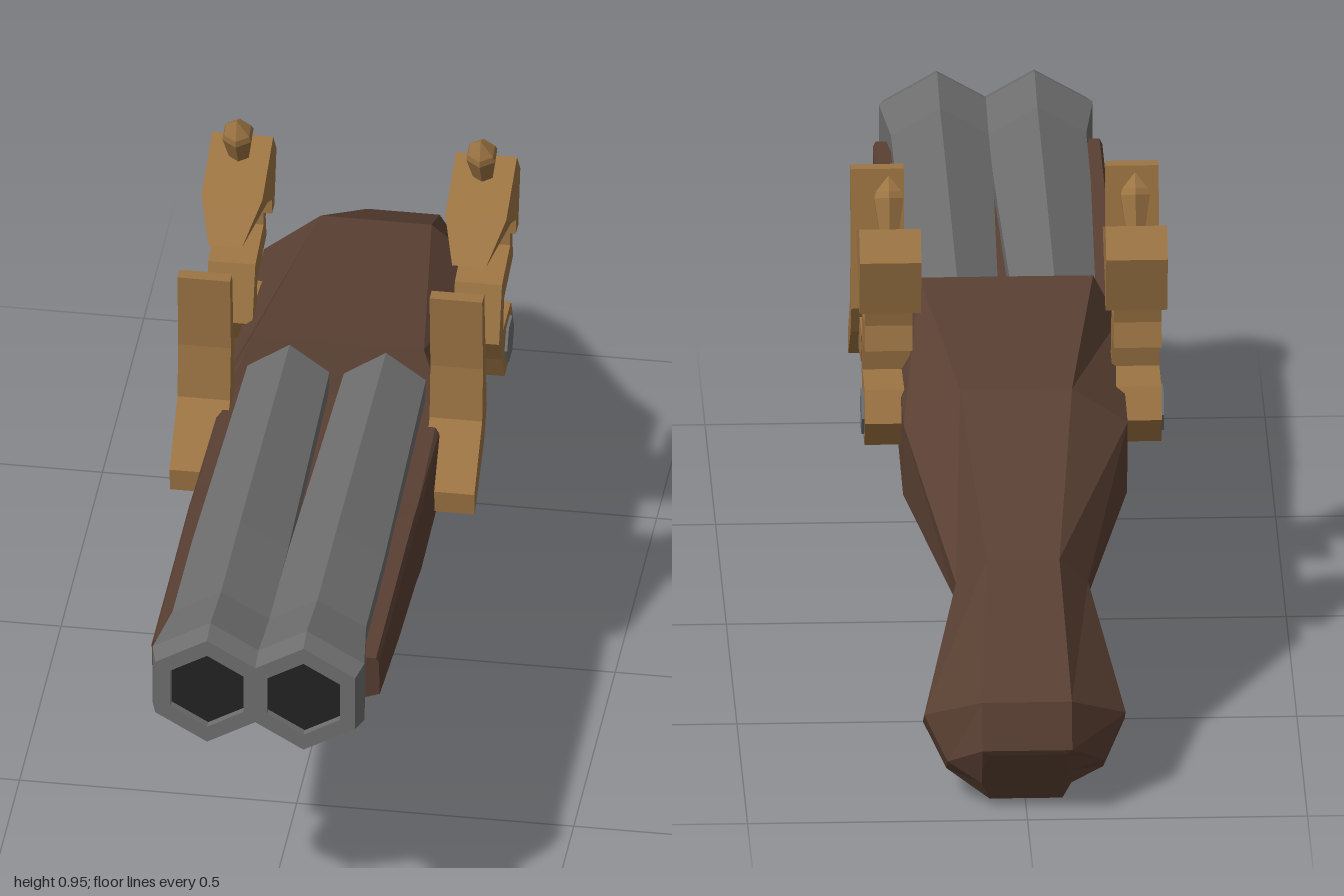
import * as THREE from 'three';

const mat = (color) => new THREE.MeshStandardMaterial({ color, flatShading: true });
const wood = mat(0x5a4033), brass = mat(0x9c7443), steel = mat(0x6e6e6e), dark = mat(0x222222);

function add(parent, name, geometry, material) {
  const mesh = new THREE.Mesh(geometry, material);
  mesh.name = name;
  parent.add(mesh);
  return mesh;
}

// Skin over rings of [x, y, z] corners, closed at both ends
function loft(rings) {
  const pos = [], n = rings[0].length, last = rings[rings.length - 1];
  const tri = (...corners) => corners.forEach((c) => pos.push(...c));
  for (let i = 0; i < rings.length - 1; i++) {
    for (let j = 0; j < n; j++) {
      const k = (j + 1) % n;
      tri(rings[i][j], rings[i + 1][j], rings[i][k]);
      tri(rings[i][k], rings[i + 1][j], rings[i + 1][k]);
    }
  }
  for (let j = 1; j < n - 1; j++) {
    tri(rings[0][0], rings[0][j], rings[0][j + 1]);
    tri(last[0], last[j + 1], last[j]);
  }
  const g = new THREE.BufferGeometry();
  g.setAttribute('position', new THREE.Float32BufferAttribute(pos, 3));
  g.computeVertexNormals();
  return g;
}

// Side profile of [z, y] points, thick from x0 to x1 (mirrored when side is -1)
function slab(points, x0, x1, side = 1) {
  const shape = new THREE.Shape(points.map(([z, y]) => new THREE.Vector2(z, y)));
  return new THREE.ExtrudeGeometry(shape, { depth: x1 - x0, bevelEnabled: false })
    .rotateY(-Math.PI / 2).translate(side > 0 ? x1 : -x0, 0, 0);
}

// Eight-sided stock section: top and bottom points, half widths, heights of the side edges
function stockRing([tz, ty, bz, by, w, tw, bw, hi, lo]) {
  const at = (x, u) => [x, by + (ty - by) * u, bz + (tz - bz) * u];
  return [at(tw, 1), at(-tw, 1), at(-w, hi), at(-w, lo), at(-bw, 0), at(bw, 0), at(w, lo), at(w, hi)];
}

export function createModel() {
  const model = new THREE.Group();
  model.name = 'doubleBarrelPistol';

  // Wooden stock from fore-end to butt
  add(model, 'stock', loft([
    [0.88, 0.585, 0.86, 0.445, 0.205, 0.2, 0.06, 0.93, 0.4],
    [0.64, 0.585, 0.64, 0.405, 0.205, 0.2, 0.06, 0.93, 0.35],
    [0.43, 0.585, 0.43, 0.405, 0.205, 0.2, 0.06, 0.93, 0.25],
    [0.37, 0.58, 0.37, 0.383, 0.205, 0.2, 0.06, 0.93, 0.28],
    [0.03, 0.57, 0.03, 0.38, 0.2, 0.19, 0.06, 0.95, 0.25],
    [0, 0.66, 0, 0.38, 0.2, 0.155, 0.06, 0.69, 0.16],
    [-0.46, 0.62, -0.41, 0.38, 0.2, 0.1, 0.06, 0.7, 0.1],
    [-0.79, 0.42, -0.64, 0.24, 0.118, 0.065, 0.06, 0.65, 0.4],
    [-0.98, 0.22, -0.71, 0.06, 0.18, 0.08, 0.085, 0.62, 0.4],
    [-1, 0.135, -0.79, 0.003, 0.14, 0.08, 0.075, 0.65, 0.4],
    [-0.995, 0.125, -0.93, 0.018, 0.08, 0.07, 0.065, 0.65, 0.35],
  ].map(stockRing)), wood);

  // Hexagonal barrels with flared muzzles
  const barrelProfile = [[0, 0], [0.085, 0], [0.1, 0.6], [0.101, 0.83], [0.12, 0.96],
    [0.108, 1], [0.076, 1], [0.076, 0.98]].map(([r, z]) => new THREE.Vector2(r, z));
  for (const side of [1, -1]) {
    const barrel = new THREE.Group();
    barrel.name = side > 0 ? 'leftBarrel' : 'rightBarrel';
    barrel.position.set(side * 0.087, 0.565, 0);
    add(barrel, 'barrelTube', new THREE.LatheGeometry(barrelProfile, 6).rotateX(Math.PI / 2), steel);
    add(barrel, 'bore', new THREE.CircleGeometry(0.078, 6, Math.PI / 2).translate(0, 0, 0.985), dark);
    model.add(barrel);
  }

  // One lock on each side: hammer, jaw screw, frizzen
  const jaw = [[-0.107, 0.775], [-0.19, 0.825], [-0.32, 0.875], [-0.36, 0.825], [-0.335, 0.72],
    [-0.305, 0.72], [-0.305, 0.75], [-0.25, 0.78]];
  const arm = [[-0.305, 0.74], [-0.338, 0.74], [-0.33, 0.695], [-0.34, 0.65], [-0.23, 0.63], [-0.22, 0.57],
    [-0.315, 0.567], [-0.342, 0.512], [-0.31, 0.46], [-0.235, 0.46], [-0.205, 0.515], [-0.17, 0.57],
    [-0.205, 0.675], [-0.305, 0.695]];
  const frizzen = [[0.1, 0.84], [0.075, 0.84], [0.06, 0.71], [0.045, 0.585], [0.075, 0.53], [0.19, 0.445],
    [0.195, 0.49], [0.1, 0.585], [0.09, 0.69]];
  const bracket = [[0.06, 0.565], [-0.05, 0.57], [-0.01, 0.505], [0.1, 0.49], [0.085, 0.53]];
  const screwProfile = [[0, 0], [0.02, 0], [0.03, 0.06], [0.026, 0.072], [0, 0.1]]
    .map(([r, y]) => new THREE.Vector2(r, y));

  for (const side of [1, -1]) {
    const lock = new THREE.Group();
    lock.name = side > 0 ? 'leftLock' : 'rightLock';

    // Jaw narrows towards its tip
    const jawGeometry = slab(jaw, 0.165, 0.275, side), p = jawGeometry.attributes.position;
    for (let i = 0; i < p.count; i++) {
      if (p.getZ(i) > -0.15) p.setX(i, side * 0.22 + (p.getX(i) - side * 0.22) * 0.55);
    }
    jawGeometry.computeVertexNormals();
    add(lock, 'hammerJaw', jawGeometry, brass);
    add(lock, 'hammerArm', slab(arm, 0.18, 0.265, side), brass);

    const screw = add(lock, 'jawScrew', new THREE.LatheGeometry(screwProfile, 6), brass);
    screw.position.set(side * 0.22, 0.857, -0.285);
    screw.rotation.x = 0.37;

    const pin = add(lock, 'hammerPin', new THREE.CylinderGeometry(0.042, 0.042, 0.07, 6).rotateZ(Math.PI / 2), steel);
    pin.position.set(side * 0.235, 0.513, -0.277);

    add(lock, 'frizzen', slab(frizzen, 0.18, 0.275, side), brass);
    add(lock, 'frizzenBracket', slab(bracket, 0.17, 0.26, side), brass);
    model.add(lock);
  }

  // Trigger guard: outer and inner [z, y] edges and half width along the strap
  const guardX = 0.013;
  add(model, 'triggerGuard', loft([
    [0.08, 0.362, 0.08, 0.39, 0.03],
    [-0.19, 0.35, -0.225, 0.385, 0.03],
    [-0.14, 0.26, -0.18, 0.265, 0.048],
    [-0.21, 0.17, -0.23, 0.21, 0.03],
    [-0.385, 0.175, -0.375, 0.215, 0.03],
    [-0.465, 0.255, -0.435, 0.28, 0.045],
    [-0.53, 0.295, -0.5, 0.335, 0.03],
    [-0.638, 0.222, -0.65, 0.25, 0.03],
  ].map(([oz, oy, iz, iy, h]) => [
    [guardX + h, iy, iz], [guardX - h, iy, iz], [guardX - h, oy, oz], [guardX + h, oy, oz],
  ])), brass);

  // Curved trigger
  add(model, 'trigger', slab([[-0.29, 0.39], [-0.335, 0.39], [-0.34, 0.28], [-0.31, 0.222], [-0.288, 0.23],
    [-0.305, 0.285]], guardX - 0.02, guardX + 0.02), brass);

  return model;
}
